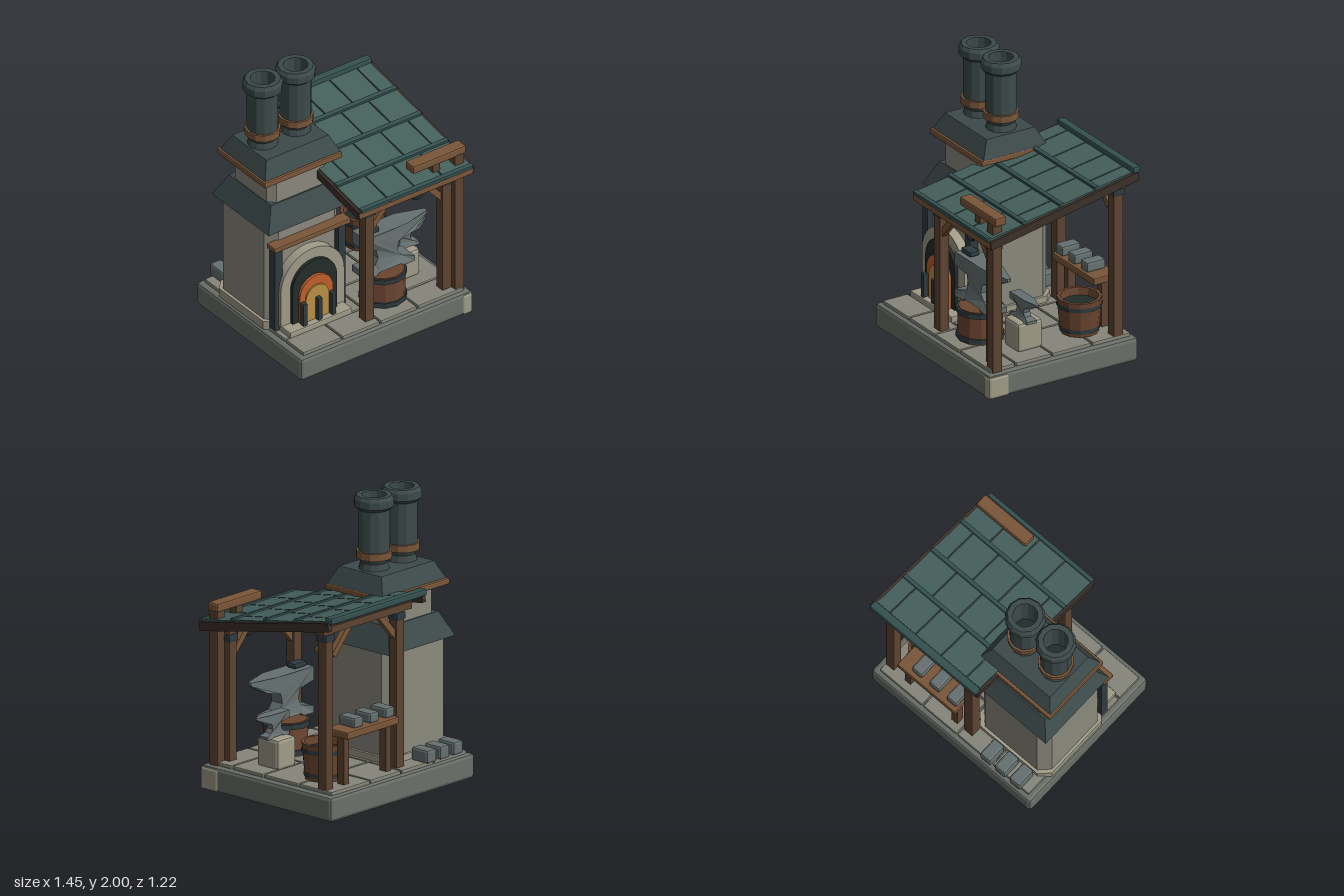
import * as THREE from 'three';
import { RoundedBoxGeometry } from 'three/addons/geometries/RoundedBoxGeometry.js';

const mat = (color, side = THREE.FrontSide) => new THREE.MeshStandardMaterial({ color, flatShading: true, side });
const M = {
  base: mat(0x6a6f68), slab: mat(0x85857a), stone: mat(0x8b897c), pale: mat(0xa09c88),
  slate: mat(0x3d4a4a), tile: mat(0x45605c), trim: mat(0x34504f), iron: mat(0x2f3b40),
  steel: mat(0x667070), wood: mat(0x5e4431), oak: mat(0x7a5639), dark: mat(0x3d3029),
  soot: mat(0x222c29), ember: mat(0xc0602a), flame: mat(0xb98f45),
  pipe: mat(0x3d4a4a, THREE.DoubleSide), stave: mat(0x6b4530, THREE.DoubleSide),
};

export function createModel() {
  const root = new THREE.Group();

  function add(name, geo, m, x = 0, y = 0, z = 0, parent = root) {
    const mesh = new THREE.Mesh(geo, m);
    mesh.name = name;
    mesh.position.set(x, y, z);
    parent.add(mesh);
    return mesh;
  }
  // Box given by its extents, with chamfered edges when c > 0
  function box(name, m, [x0, x1], [y0, y1], [z0, z1], c = 0, parent = root) {
    const s = [x1 - x0, y1 - y0, z1 - z0];
    const geo = c ? new RoundedBoxGeometry(...s, 1, c) : new THREE.BoxGeometry(...s);
    return add(name, geo, m, (x0 + x1) / 2, (y0 + y1) / 2, (z0 + z1) / 2, parent);
  }
  // Rectangular frustum
  function frustum(name, m, x, z, y0, y1, [wb, db], [wt, dt]) {
    const geo = new THREE.BoxGeometry(1, y1 - y0, 1), p = geo.attributes.position;
    for (let i = 0; i < p.count; i++) {
      const top = p.getY(i) > 0;
      p.setX(i, p.getX(i) * (top ? wt : wb));
      p.setZ(i, p.getZ(i) * (top ? dt : db));
    }
    return add(name, geo, m, x, (y0 + y1) / 2, z);
  }
  // Upright block with chamfered vertical corners
  function chamferBlock(name, m, x, z, y0, y1, w, d, c) {
    const a = w / 2, b = d / 2;
    const s = new THREE.Shape([[a - c, -b], [a, c - b], [a, b - c], [a - c, b], [c - a, b], [-a, b - c], [-a, c - b], [c - a, -b]]
      .map(q => new THREE.Vector2(...q)));
    const geo = new THREE.ExtrudeGeometry(s, { depth: y1 - y0, bevelEnabled: false }).rotateX(-Math.PI / 2);
    return add(name, geo, m, x, y0, z);
  }
  const lathe = (pts, n) => new THREE.LatheGeometry(pts.map(q => new THREE.Vector2(...q)), n);

  // Plinth, corner stone and paving
  box('base', M.base, [-0.73, 0.7], [0, 0.175], [-0.6, 0.59], 0.025);
  box('cornerStone', M.pale, [0.62, 0.705], [0, 0.165], [0.43, 0.595], 0.02);
  const xs = [-0.69, -0.36, -0.04, 0.27, 0.66], zs = [-0.57, -0.26, 0.06, 0.35, 0.56];
  for (let i = 0; i < 4; i++) for (let j = 0; j < 4; j++)
    box('pavingSlab', M.slab, [xs[i] + 0.006, xs[i + 1] - 0.006], [0.16, 0.2], [zs[j] + 0.006, zs[j + 1] - 0.006], 0.008);

  // Furnace stack
  const fx = -0.39, fz = -0.11;
  chamferBlock('furnacePlinth', M.pale, fx, fz, 0.18, 0.245, 0.65, 0.64, 0.07);
  chamferBlock('furnaceBody', M.stone, fx, fz, 0.2, 0.98, 0.61, 0.6, 0.07);
  frustum('lowerHood', M.slate, fx, fz, 0.97, 1.14, [0.66, 0.64], [0.5, 0.475]);
  chamferBlock('furnaceNeck', M.stone, fx, fz, 1.12, 1.34, 0.49, 0.455, 0.05);
  box('hoodTrim', M.oak, [-0.715, -0.065], [1.32, 1.365], [-0.385, 0.16], 0.01);
  frustum('upperHood', M.slate, fx + 0.005, fz, 1.36, 1.485, [0.635, 0.51], [0.52, 0.385]);

  // Twin chimneys
  for (const x of [-0.53, -0.255]) {
    add('chimney', lathe([[0.11, 1.47], [0.095, 1.53], [0.108, 1.56], [0.108, 1.9], [0.138, 1.925], [0.138, 1.975],
      [0.122, 2], [0.085, 2], [0.083, 1.6]], 12), M.pipe, x, 0, -0.115);
    add('chimneyFloor', new THREE.CylinderGeometry(0.084, 0.084, 0.01, 12), M.soot, x, 1.7, -0.115);
    add('chimneyBand', new THREE.CylinderGeometry(0.123, 0.123, 0.05, 12), M.oak, x, 1.585, -0.115);
  }

  // Fire mouth: nested arches, uprights, mantel, hearth and grate
  function arch(name, m, r, springY, z0, z1, inner = 0) {
    const outline = (S, q) => {
      const s = new S();
      s.moveTo(-q, 0.235); s.lineTo(q, 0.235); s.lineTo(q, springY);
      s.absarc(0, springY, q, 0, Math.PI, false);
      s.lineTo(-q, 0.235);
      return s;
    };
    const s = outline(THREE.Shape, r);
    if (inner) s.holes.push(outline(THREE.Path, inner));
    add(name, new THREE.ExtrudeGeometry(s, { depth: z1 - z0, bevelEnabled: false, curveSegments: 12 }), m, fx, 0, z0);
  }
  arch('archStones', M.pale, 0.265, 0.505, 0.17, 0.26, 0.18);
  arch('fireMouth', M.soot, 0.185, 0.505, 0.17, 0.285);
  arch('embers', M.ember, 0.138, 0.44, 0.28, 0.305);
  arch('flame', M.flame, 0.095, 0.41, 0.3, 0.315);
  for (const s of [-1, 1]) box('ironUpright', M.iron, [fx + s * 0.265 - 0.03, fx + s * 0.265 + 0.03], [0.2, 0.86], [0.17, 0.235]);
  box('mantel', M.oak, [-0.71, -0.07], [0.85, 0.89], [0.17, 0.265], 0.01);
  box('hearth', M.pale, [-0.65, -0.13], [0.19, 0.24], [0.15, 0.36], 0.01);
  for (const x of [-0.515, -0.39, -0.275]) box('grateBar', M.iron, [x - 0.018, x + 0.018], [0.235, 0.415], [0.31, 0.35], 0.008);

  // Timber posts with iron collars
  function post(x, z, top, collarY, w = 0.076) {
    const h = w / 2;
    box('post', M.wood, [x - h, x + h], [0.165, top], [z - h, z + h], 0.006);
    if (collarY) box('postCollar', M.iron, [x - h - 0.008, x + h + 0.008], [collarY - 0.027, collarY + 0.027], [z - h - 0.008, z + h + 0.008], 0.01);
  }
  post(-0.09, 0.465, 1.15, 1.06);
  post(0.555, 0.465, 1.15, 1.06);
  post(0.63, 0.505, 1.27);
  post(-0.09, -0.47, 1.33, 1.26);
  post(0.615, -0.47, 1.33, 1.26);

  // Diagonal braces
  function brace(a, b) {
    const A = new THREE.Vector3(...a), B = new THREE.Vector3(...b);
    const m = add('brace', new THREE.BoxGeometry(0.04, 0.045, A.distanceTo(B)), M.oak);
    m.position.copy(A).lerp(B, 0.5);
    m.lookAt(B);
  }
  for (const [z, y] of [[0.465, 1.1], [-0.47, 1.31]]) {
    brace([-0.07, y - 0.19, z], [0.1, y, z]);
    brace([0.55, y - 0.19, z], [0.38, y, z]);
  }
  box('frontBeam', M.oak, [-0.245, 0.71], [1.115, 1.17], [0.535, 0.595], 0.01);
  box('rearBeam', M.wood, [-0.2, 0.68], [1.29, 1.34], [-0.51, -0.43]);

  // Sloping roof with staggered tile rows
  const roof = new THREE.Group();
  roof.name = 'roof';
  roof.position.set(0, 1.262, 0);
  roof.rotation.x = 0.194;
  root.add(roof);
  for (const x of [-0.232, 0.702]) box('rakeBoard', M.dark, [x - 0.016, x + 0.016], [-0.035, 0.025], [-0.6, 0.6], 0, roof);
  box('roofDeck', M.slate, [-0.22, 0.69], [0, 0.015], [-0.59, 0.59], 0, roof);
  const rows = [-0.6, -0.275, 0.01, 0.315, 0.6];
  for (let r = 0; r < 4; r++) {
    const seams = r % 2 ? [-0.235, 0, 0.23, 0.46, 0.7] : [-0.235, -0.11, 0.12, 0.35, 0.58, 0.7];
    for (let i = 0; i + 1 < seams.length; i++) {
      const t = box('roofTile', M.tile, [seams[i] + 0.005, seams[i + 1] - 0.005], [0.017, 0.037], [rows[r], rows[r + 1] + 0.01], 0, roof);
      t.rotation.x = -0.03;
    }
    box('tileEdge', M.trim, [-0.235, 0.7], [0.024, 0.052], [rows[r + 1] - 0.025, rows[r + 1] + 0.01], 0.008, roof);
  }
  box('ridgeCap', M.trim, [-0.245, 0.71], [1.39, 1.44], [-0.612, -0.55], 0.014);
  box('crossBeam', M.oak, [0.245, 0.69], [1.258, 1.322], [0.445, 0.54], 0.014);
  box('beamSupport', M.wood, [0.42, 0.48], [1.15, 1.27], [0.465, 0.525]);
  add('hangingRing', new THREE.TorusGeometry(0.046, 0.009, 6, 16), M.iron, 0.315, 1.06, 0.49);
  box('ringHook', M.iron, [0.305, 0.325], [1.1, 1.19], [0.48, 0.5]);

  // Anvils: extruded profile with waist and horn narrowed in depth
  const profile = [[-0.2, 0.325], [-0.2, 0.23], [-0.09, 0.19], [-0.075, 0.12], [-0.1, 0.07], [-0.2, 0.05], [-0.2, 0], [-0.1, 0],
    [-0.08, 0.02], [0.1, 0.02], [0.12, 0], [0.215, 0], [0.215, 0.04], [0.12, 0.07], [0.085, 0.12], [0.1, 0.19], [0.23, 0.225],
    [0.36, 0.295], [0.36, 0.318], [0.15, 0.325]];
  function anvil(x, y, z, k, depth) {
    const geo = new THREE.ExtrudeGeometry(new THREE.Shape(profile.map(q => new THREE.Vector2(...q))), { depth: 1, bevelEnabled: false });
    geo.translate(0, 0, -0.5);
    const p = geo.attributes.position;
    for (let i = 0; i < p.count; i++) {
      const horn = THREE.MathUtils.clamp((p.getX(i) - 0.15) / 0.21, 0, 1) * (p.getY(i) > 0.1 ? 1 : 0);
      const waist = p.getY(i) > 0.06 && p.getY(i) < 0.2 ? 0.65 : 1;
      p.setXYZ(i, p.getX(i) * k, p.getY(i) * k, p.getZ(i) * depth * waist * (1 - 0.8 * horn));
    }
    add('anvil', geo, M.steel, x, y, z);
  }
  anvil(0.155, 0.44, 0.315, 1, 0.15);
  anvil(0.44, 0.4, 0.155, 0.52, 0.08);
  box('hammerHead', M.iron, [-0.02, 0.1], [0.763, 0.803], [0.28, 0.36], 0.014);
  box('anvilBlock', M.pale, [0.34, 0.52], [0.19, 0.405], [0.05, 0.245], 0.022);

  // Anvil stump with iron hoops
  add('stump', new THREE.CylinderGeometry(0.15, 0.157, 0.24, 12), M.stave, 0.155, 0.315, 0.315);
  for (const y of [0.225, 0.41]) add('stumpHoop', new THREE.CylinderGeometry(0.165, 0.165, 0.035, 12), M.iron, 0.155, y, 0.315);

  // Quench tub
  add('tub', lathe([[0, 0.205], [0.132, 0.205], [0.155, 0.46], [0.132, 0.46], [0.122, 0.38]], 12), M.stave, 0.44, 0, -0.295);
  add('tubWater', new THREE.CylinderGeometry(0.125, 0.125, 0.01, 12), M.soot, 0.44, 0.4, -0.295);
  for (const [y, r] of [[0.245, 0.141], [0.41, 0.156]])
    add('tubHoop', new THREE.CylinderGeometry(r + 0.002, r, 0.03, 12, 1, true), M.iron, 0.44, y, -0.295);

  // Rear shelf with metal bars, and bars stacked behind the furnace
  box('shelf', M.oak, [-0.02, 0.5], [0.53, 0.583], [-0.565, -0.37], 0.01);
  for (const x of [0.03, 0.45]) box('shelfLeg', M.wood, [x - 0.025, x + 0.025], [0.18, 0.54], [-0.51, -0.45]);
  for (const x of [0.04, 0.195, 0.35]) box('metalBar', M.steel, [x - 0.045, x + 0.045], [0.58, 0.655], [-0.535, -0.385], 0.016);
  for (const x of [-0.577, -0.445, -0.315]) box('metalBar', M.steel, [x - 0.047, x + 0.047], [0.195, 0.29], [-0.59, -0.44], 0.016);

  return root;
}
